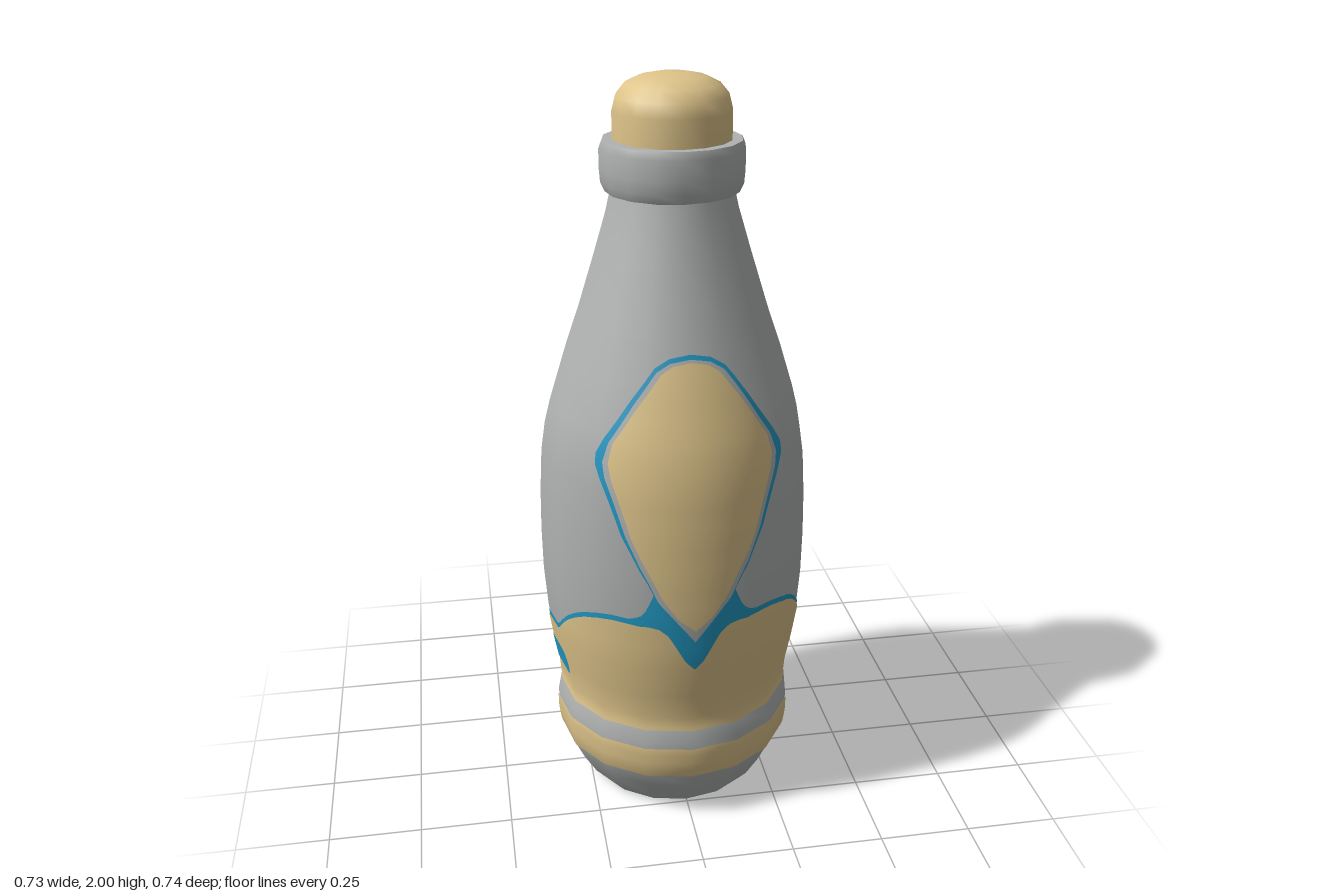
import * as THREE from 'three';

const SIDES = 16;
const STEP = (2 * Math.PI) / SIDES;

// Body profile as [radius, height]
const BODY = [
  [0.24, 0], [0.262, 0.025], [0.3, 0.09], [0.328, 0.15], [0.335, 0.2], [0.335, 0.26], [0.321, 0.292],
  [0.321, 0.31], [0.326, 0.37], [0.341, 0.45], [0.355, 0.54], [0.364, 0.66], [0.366, 0.78], [0.364, 0.9],
  [0.357, 1.02], [0.345, 1.1], [0.33, 1.16], [0.293, 1.28], [0.255, 1.39], [0.205, 1.55], [0.172, 1.66], [0.156, 1.73],
];

// Linear lookup in a list of [key, value] pairs
function lookup(table, k) {
  if (k <= table[0][0]) return table[0][1];
  for (let i = 1; i < table.length; i++) {
    const [k0, v0] = table[i - 1], [k1, v1] = table[i];
    if (k <= k1) return v0 + ((v1 - v0) * (k - k0)) / (k1 - k0);
  }
  return table[table.length - 1][1];
}
const RADIUS = BODY.map(([r, y]) => [y, r]);
const radiusAt = (y) => lookup(RADIUS, y);

// Painted skin lying on the faceted body; at(u, v) gives [angle, height]
function skin(at, cols, rows, offset) {
  const pos = [], nor = [], idx = [];
  for (let j = 0; j <= rows; j++) {
    for (let i = 0; i <= cols; i++) {
      const [a, y] = at(i / cols, j / rows);
      const local = a - Math.floor(a / STEP) * STEP - STEP / 2;
      const r = (radiusAt(y) * Math.cos(STEP / 2)) / Math.cos(local) + offset;
      pos.push(r * Math.sin(a), y, r * Math.cos(a));
      const slope = (radiusAt(y + 0.04) - radiusAt(y - 0.04)) / 0.08;
      const len = Math.hypot(1, slope);
      nor.push(Math.sin(a) / len, -slope / len, Math.cos(a) / len);
      if (i < cols && j < rows) {
        const p = j * (cols + 1) + i, q = p + cols + 1;
        idx.push(p, p + 1, q, p + 1, q + 1, q);
      }
    }
  }
  const g = new THREE.BufferGeometry();
  g.setAttribute('position', new THREE.Float32BufferAttribute(pos, 3));
  g.setAttribute('normal', new THREE.Float32BufferAttribute(nor, 3));
  g.setIndex(idx);
  return g;
}

// Ring all the way round between two height functions of the angle
const ring = (low, high, rows, offset) => skin((u, v) => {
  const a = u * 2 * Math.PI;
  return [a, low(a) + (high(a) - low(a)) * v];
}, 192, rows, offset);

// Symmetric patch around one direction, from [height, half width] pairs
function patch(outline, centre, offset) {
  const y0 = outline[0][0], y1 = outline[outline.length - 1][0];
  return skin((u, v) => {
    const y = y0 + (y1 - y0) * v;
    const x = lookup(outline, y) * (2 * u - 1);
    return [centre + Math.asin(x / (radiusAt(y) * 0.99)), y];
  }, 48, 72, offset);
}

const lathe = (points) =>
  new THREE.LatheGeometry(points.map(([r, y]) => new THREE.Vector2(r, y)), SIDES);

// Heights by angle in degrees, mirrored into every quarter
const SKIRT_TOP = [
  [0, 0.51], [4, 0.535], [11, 0.615], [15, 0.637], [20, 0.646], [36, 0.647], [44, 0.642], [50, 0.628],
  [57, 0.605], [63, 0.58], [70, 0.535], [75, 0.517], [90, 0.514],
];
const TRIM_EXTRA = [[0, 0.19], [11, 0.14], [17, 0.105], [20, 0.05], [23, 0.028], [28, 0.015], [90, 0.013]];
function quarter(a) {
  const d = ((a * 180) / Math.PI) % 180;
  return d > 90 ? 180 - d : d;
}
const skirtTop = (a) => lookup(SKIRT_TOP, quarter(a));
const trimTop = (a) => skirtTop(a) + lookup(TRIM_EXTRA, quarter(a));

// Diamond outlines
const DIAMOND_TRIM = [
  [0.575, 0], [0.7, 0.09], [0.77, 0.12], [0.9, 0.185], [1.04, 0.229], [1.08, 0.238], [1.11, 0.235],
  [1.15, 0.215], [1.25, 0.148], [1.33, 0.088], [1.352, 0.052], [1.363, 0],
];
const DIAMOND_RIM = [
  [0.6, 0], [0.72, 0.096], [0.77, 0.116], [0.9, 0.174], [1.05, 0.219], [1.09, 0.222], [1.14, 0.206],
  [1.24, 0.142], [1.32, 0.085], [1.342, 0.05], [1.352, 0],
];
const DIAMOND = [
  [0.635, 0], [0.67, 0.045], [0.73, 0.085], [0.9, 0.16], [1.05, 0.204], [1.09, 0.209], [1.14, 0.196],
  [1.23, 0.136], [1.315, 0.074], [1.335, 0.045], [1.345, 0],
];
const PILL = [
  [0.37, 0.095], [0.376, 0.108], [0.388, 0.118], [0.408, 0.122], [0.428, 0.118], [0.44, 0.108], [0.446, 0.095],
];

export function createModel() {
  const grey = new THREE.MeshStandardMaterial({ color: 0xb0b2b2 });
  grey.name = 'grey';
  const tan = new THREE.MeshStandardMaterial({ color: 0xdec48a });
  tan.name = 'tan';
  const blue = new THREE.MeshStandardMaterial({ color: 0x2299c4 });
  blue.name = 'blue';

  const model = new THREE.Group();
  model.name = 'bottle';
  const add = (name, geometry, material) => {
    const mesh = new THREE.Mesh(geometry, material);
    mesh.name = name;
    model.add(mesh);
  };

  // Glass body with a flat base (doubled point keeps the base edge sharp)
  add('body', lathe([[0, 0], [0.24, 0], ...BODY]), grey);

  // Collar and domed cap
  add('collar', lathe([
    [0.15, 1.712], [0.172, 1.712], [0.172, 1.712], [0.183, 1.735], [0.186, 1.77], [0.186, 1.82],
    [0.178, 1.84], [0.178, 1.84], [0.14, 1.84],
  ]), grey);
  add('cap', lathe([
    [0.152, 1.82], [0.152, 1.91], [0.143, 1.945], [0.12, 1.973], [0.085, 1.99], [0.045, 1.998], [0, 2],
  ]), tan);

  // Painted band and wavy skirt with its trim line
  add('lowerBand', ring(() => 0.143, () => 0.24, 8, 0.002), tan);
  add('skirtTrim', ring((a) => skirtTop(a) - 0.03, trimTop, 12, 0.002), blue);
  add('skirt', ring(() => 0.293, skirtTop, 30, 0.004), tan);

  // Diamonds on front and back, pills on both sides
  for (const [side, turn] of [['front', 0], ['back', Math.PI]]) {
    add(side + 'DiamondTrim', patch(DIAMOND_TRIM, turn, 0.002), blue);
    add(side + 'DiamondRim', patch(DIAMOND_RIM, turn, 0.004), grey);
    add(side + 'Diamond', patch(DIAMOND, turn, 0.006), tan);
  }
  add('leftPill', patch(PILL, Math.PI / 2, 0.006), blue);
  add('rightPill', patch(PILL, -Math.PI / 2, 0.006), blue);

  return model;
}
